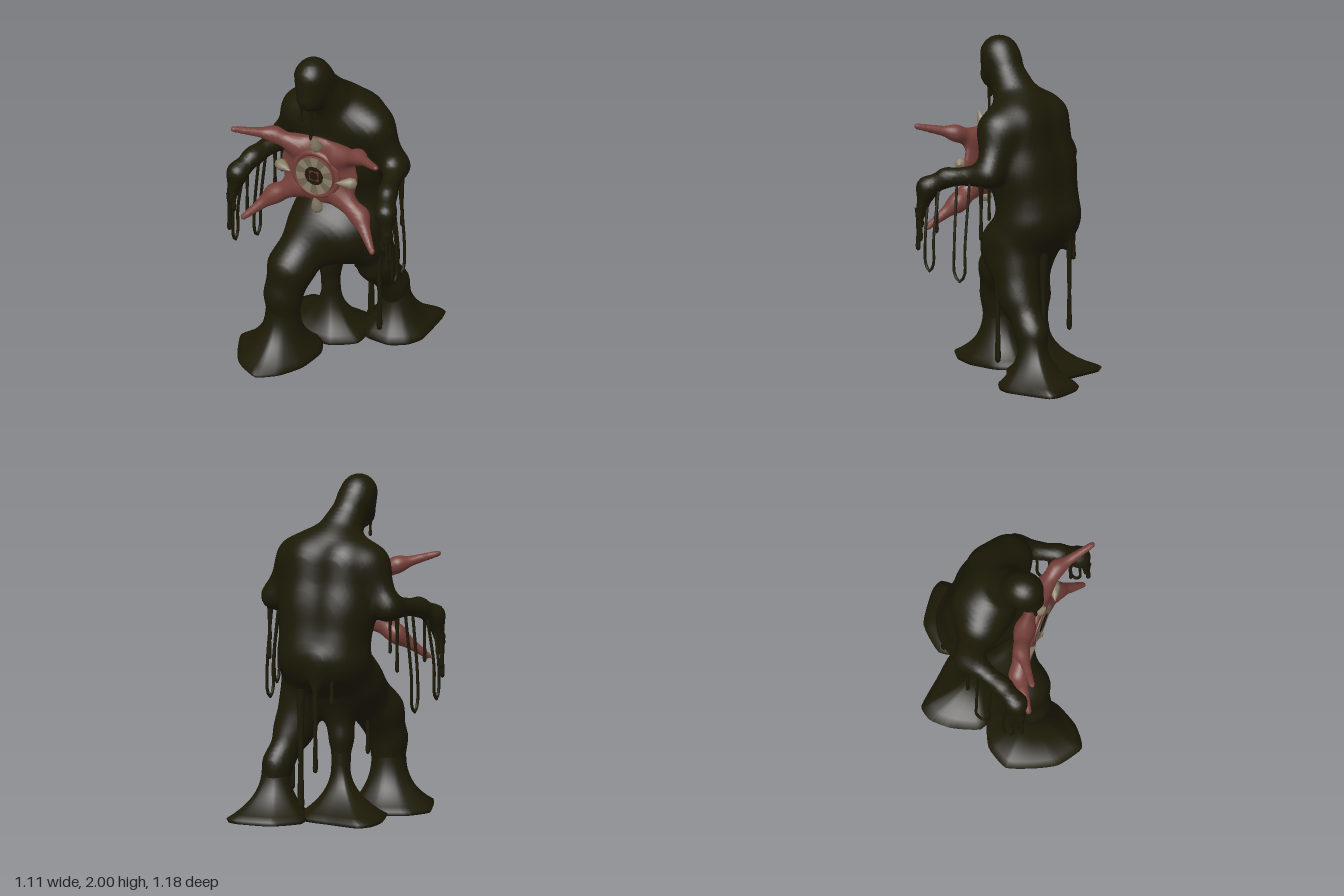
import * as THREE from 'three';

const mat = (name, color) => {
  const m = new THREE.MeshStandardMaterial({ color });
  m.name = name;
  return m;
};
const slime = mat('slime', 0x1c1906);
const flesh = mat('flesh', 0x753f39);
const gum = mat('gum', 0x64302b);
const bone = mat('bone', 0x897e68);
const dullBone = mat('dull bone', 0x716552);

const V = (x, y, z) => new THREE.Vector3(x, y, z);
function add(parent, name, geometry, material) {
  const mesh = new THREE.Mesh(geometry, material);
  mesh.name = name;
  parent.add(mesh);
  return mesh;
}

// Tapered limb between two points; sx widens its section along x
const limb = (a, b, ra, rb, sx = 1) => (x, y, z) => {
  const dx = b[0] - a[0], dy = b[1] - a[1], dz = b[2] - a[2];
  const px = (x - a[0]) / sx, py = y - a[1], pz = z - a[2];
  const t = Math.min(1, Math.max(0, (px * dx + py * dy + pz * dz) / (dx * dx + dy * dy + dz * dz)));
  return Math.hypot(px - dx * t, py - dy * t, pz - dz * t) - (ra + (rb - ra) * t);
};
const ellipsoid = (c, r) => (x, y, z) => {
  const p = [x - c[0], y - c[1], z - c[2]];
  const k0 = Math.hypot(p[0] / r[0], p[1] / r[1], p[2] / r[2]);
  const k1 = Math.hypot(p[0] / r[0] ** 2, p[1] / r[1] ** 2, p[2] / r[2] ** 2);
  return k1 < 1e-6 ? -Math.min(...r) : k0 * (k0 - 1) / k1;
};

// Melts the given shapes together and skins the result on a regular grid
function meltedSurface(shapes, blend, min, max, cell) {
  const n = min.map((m, a) => Math.ceil((max[a] - m) / cell) + 1);
  const step = [1, n[0], n[0] * n[1]];
  const val = new Float32Array(n[0] * n[1] * n[2]);
  const each = (from, trim, fn) => {
    for (let k = from; k < n[2] - trim; k++)
      for (let j = from; j < n[1] - trim; j++)
        for (let i = from; i < n[0] - trim; i++) fn(i, j, k, i + j * step[1] + k * step[2]);
  };
  each(0, 0, (i, j, k, id) => {
    let d = 1;
    for (const s of shapes) {
      const e = s(min[0] + i * cell, min[1] + j * cell, min[2] + k * cell);
      const h = Math.max(blend - Math.abs(d - e), 0) / blend;
      d = Math.min(d, e) - h * h * blend / 4;
    }
    val[id] = d;
  });
  const pos = [], index = [], vert = new Int32Array(val.length).fill(-1);
  each(0, 1, (i, j, k, id) => {
    const sum = [0, 0, 0];
    let hits = 0;
    for (let c = 0; c < 8; c++) for (let a = 0; a < 3; a++) {
      if (c >> a & 1) continue;
      const bits = [c & 1, c >> 1 & 1, c >> 2 & 1];
      const o = id + bits[0] * step[0] + bits[1] * step[1] + bits[2] * step[2];
      const v0 = val[o], v1 = val[o + step[a]];
      if ((v0 < 0) === (v1 < 0)) continue;
      bits[a] = v0 / (v0 - v1);
      bits.forEach((b, q) => { sum[q] += b; });
      hits++;
    }
    if (!hits) return;
    vert[id] = pos.length / 3;
    [i, j, k].forEach((g, a) => pos.push(min[a] + (g + sum[a] / hits) * cell));
  });
  each(1, 1, (i, j, k, id) => {
    for (let a = 0; a < 3; a++) {
      const inside = val[id] < 0;
      if (inside === (val[id + step[a]] < 0)) continue;
      const b = step[(a + 1) % 3], c = step[(a + 2) % 3];
      const q = [vert[id], vert[id - b], vert[id - b - c], vert[id - c]];
      if (!inside) q.reverse();
      index.push(q[0], q[1], q[2], q[0], q[2], q[3]);
    }
  });
  return indexed(pos, index);
}
function indexed(pos, index) {
  const g = new THREE.BufferGeometry();
  g.setAttribute('position', new THREE.Float32BufferAttribute(pos, 3));
  g.setIndex(index);
  g.computeVertexNormals();
  return g;
}

// Foot that flares from a leg column out to an uneven puddle outline
function puddle(outline, cx, cz, r) {
  const curve = new THREE.CatmullRomCurve3(outline.map(([x, z]) => V(x, 0, z)), true, 'catmullrom', 0.25);
  const N = 40, pts = curve.getPoints(N).slice(0, N), pos = [], index = [];
  const rows = [[0.06, 0], [0, 0.024]];
  for (let s = 0.1; s < 1.01; s += 0.1) rows.push([1 - (1 - Math.min(s, 1)) ** 2.2, 0.026 + 0.29 * s ** 1.1]);
  for (const [t, y] of rows) for (const p of pts) {
    const ang = Math.atan2(p.z - cz, p.x - cx);
    pos.push(p.x + (cx + r * Math.cos(ang) - p.x) * t, y, p.z + (cz + r * Math.sin(ang) - p.z) * t);
  }
  for (let j = 0; j < rows.length - 1; j++) for (let i = 0; i < N; i++) {
    const a = j * N + i, b = j * N + (i + 1) % N;
    index.push(a, b, a + N, b, b + N, a + N);
  }
  for (let i = 1; i < N - 1; i++) index.push(0, i + 1, i);
  return indexed(pos, index);
}

// Hanging drip: wide root, thin neck, swollen end
function drip(parent, x, z, top, bottom, r) {
  const L = top - bottom;
  const prof = [[0, 0], [r * 0.8, r * 0.6], [r, r * 2], [r * 0.7, L * 0.4], [r * 0.9, L * 0.75], [r * 1.4, L]];
  const g = new THREE.LatheGeometry(prof.map(p => new THREE.Vector2(...p)), 8);
  add(parent, 'drip', g, slime).position.set(x, bottom, z);
}
// Strand of slime sagging in a long U
function strand(parent, x, z1, z2, top, bottom) {
  const m = (z1 + z2) / 2, q = (z2 - z1) * 0.85 / 2;
  const path = new THREE.CatmullRomCurve3([V(x * 0.92, top, z1), V(x, bottom + 0.2, m - q),
    V(x, bottom + 0.04, m - q * 0.9), V(x, bottom, m), V(x, bottom + 0.04, m + q * 0.9),
    V(x, bottom + 0.2, m + q), V(x * 0.92, top, z2)]);
  add(parent, 'slimeStrand', new THREE.TubeGeometry(path, 36, 0.009, 6), slime);
}

export function createModel() {
  const model = new THREE.Group();
  model.name = 'slimeCreature';

  // Body: head, torso, skirt, webbing, legs and both arms melted together
  const shapes = [
    limb([-0.06, 1.875, 0.158], [-0.06, 1.76, 0.193], 0.122, 0.088, 0.9),
    limb([-0.04, 1.8, 0.1], [0, 1.6, -0.03], 0.1, 0.15),
    limb([0, 0.93, -0.15], [-0.01, 0.78, -0.01], 0.2, 0.2, 1.33),
    limb([-0.04, 0.97, -0.31], [-0.04, 0.8, -0.345], 0.07, 0.025),
    limb([-0.08, 0.82, 0], [-0.17, 0.58, 0.215], 0.17, 0.13),
    limb([-0.17, 0.58, 0.215], [-0.2, 0.42, 0.26], 0.13, 0.103),
    limb([-0.2, 0.42, 0.26], [-0.205, 0.2, 0.258], 0.101, 0.1),
    limb([0.13, 0.82, -0.1], [0.195, 0.52, -0.16], 0.16, 0.115),
    limb([0.195, 0.52, -0.16], [0.245, 0.32, -0.285], 0.112, 0.088, 0.9),
    limb([0.245, 0.32, -0.285], [0.25, 0.2, -0.305], 0.088, 0.085, 0.85),
    limb([-0.1, 0.68, 0.1], [0.17, 0.675, -0.06], 0.105, 0.1),
    limb([-0.05, 0.68, -0.08], [-0.08, 0.48, -0.1], 0.12, 0.062),
    limb([-0.08, 0.48, -0.1], [-0.08, 0.2, -0.11], 0.062, 0.055),
    ellipsoid([0, 1.26, 0.07], [0.17, 0.16, 0.1]),
  ];
  for (const s of [-1, 1]) shapes.push(
    limb([s * 0.1, 1.5, -0.08], [s * 0.09, 1.25, -0.115], 0.19, 0.195),
    limb([s * 0.09, 1.25, -0.115], [s * 0.07, 0.98, -0.17], 0.195, 0.2),
    limb([0, 1.59, -0.05], [s * 0.23, 1.5, -0.045], 0.12, 0.12),
    limb([s * 0.23, 1.5, -0.05], [s * 0.37, 1.27, -0.07], 0.115, 0.07),
    limb([s * 0.37, 1.27, -0.07], [s * 0.445, 1.235, 0.18], 0.07, 0.046),
    limb([s * 0.445, 1.235, 0.18], [s * 0.49, 1.17, 0.285], 0.046, 0.054),
    limb([s * 0.49, 1.17, 0.285], [s * 0.515, 1.0, 0.32], 0.05, 0.03));
  add(model, 'body', meltedSurface(shapes, 0.06, [-0.64, 0.06, -0.5], [0.64, 2.06, 0.46], 0.02), slime);

  // Feet
  add(model, 'frontFoot', puddle([[-0.02, 0.35], [0, 0.15], [-0.08, 0.02], [-0.25, 0], [-0.42, 0.08],
    [-0.5, 0.22], [-0.44, 0.38], [-0.37, 0.5], [-0.22, 0.59], [-0.1, 0.5]], -0.205, 0.259, 0.101), slime);
  add(model, 'backFoot', puddle([[0.45, -0.4], [0.44, -0.56], [0.36, -0.59], [0.15, -0.56], [0.02, -0.41],
    [0.06, -0.25], [0.14, -0.12], [0.3, -0.1], [0.4, -0.16], [0.45, -0.25]], 0.25, -0.3, 0.08), slime);
  add(model, 'middleFoot', puddle([[0.14, -0.04], [0.14, -0.22], [0.04, -0.34], [-0.13, -0.36], [-0.33, -0.38],
    [-0.39, -0.3], [-0.39, -0.17], [-0.33, 0], [-0.15, 0.05], [0, 0.06]], -0.08, -0.11, 0.055), slime);

  // Drips under the chin, the skirt and the back: x, z, top, bottom, radius
  [[-0.09, 0.245, 1.72, 1.61, 0.011], [-0.04, 0.22, 1.72, 1.48, 0.011], [0.1, -0.27, 0.78, 0.04, 0.022],
    [0.265, -0.06, 0.68, 0.12, 0.018], [-0.17, 0.06, 0.66, 0.35, 0.014], [-0.04, -0.355, 0.86, 0.3, 0.016],
    [-0.13, -0.32, 0.95, 0.7, 0.015]].forEach(d => drip(model, ...d));

  // Fingers, drips and strands of each arm
  for (const s of [-1, 1]) {
    [[0.52, 0.33, 1.05, 0.79, 0.015], [0.53, 0.305, 1.06, 0.85, 0.014], [0.495, 0.325, 1.08, 0.92, 0.016],
      [0.445, 0.25, 1.22, 0.89, 0.012], [0.42, -0.05, 1.24, 0.88, 0.013], [0.395, -0.09, 1.24, 1.0, 0.011],
      [0.31, -0.04, 1.36, 1.2, 0.011]].forEach(([x, ...d]) => drip(model, s * x, ...d));
    strand(model, s * 0.525, 0.21, 0.28, 1.17, 0.68);
    strand(model, s * 0.475, 0.02, 0.11, 1.23, 0.63);
  }

  // Four-armed fleshy star on the chest
  const star = [ellipsoid([0, 1.275, 0.185], [0.25, 0.22, 0.05])];
  for (const s of [-1, 1]) star.push(
    limb([s * 0.13, 1.405, 0.193], [s * 0.28, 1.463, 0.23], 0.058, 0.036),
    limb([s * 0.28, 1.463, 0.23], [s * 0.47, 1.52, 0.375], 0.036, 0.018),
    limb([s * 0.13, 1.14, 0.19], [s * 0.28, 1.05, 0.215], 0.06, 0.046),
    limb([s * 0.28, 1.05, 0.215], [s * 0.425, 0.91, 0.335], 0.046, 0.018));
  add(model, 'fleshStar', meltedSurface(star, 0.06, [-0.54, 0.84, 0.06], [0.54, 1.6, 0.44], 0.0125), flesh);

  // Mouth: lip, collar, ring of tooth plates and throat
  const mouth = new THREE.Group();
  mouth.name = 'mouth';
  mouth.position.set(0, 1.27, 0);
  model.add(mouth);
  add(mouth, 'lip', new THREE.TorusGeometry(0.14, 0.02, 8, 36), flesh).position.z = 0.23;
  const collar = add(mouth, 'collar', new THREE.CylinderGeometry(0.122, 0.13, 0.05, 32), flesh);
  collar.rotation.x = Math.PI / 2;
  collar.position.z = 0.229;
  const plates = 14, arc = Math.PI * 2 / plates;
  for (let i = 0; i < plates; i++)
    add(mouth, 'toothPlate', new THREE.RingGeometry(0.058, 0.12, 2, 1, i * arc, arc), i % 2 ? bone : dullBone).position.z = 0.257;
  [[0.062, slime, 10], [0.046, gum, 4], [0.03, slime, 6]].forEach(([r, m, sides], i) =>
    add(mouth, 'throat', new THREE.CircleGeometry(r, sides, Math.PI / 4), m).position.z = 0.259 + i * 0.002);

  // Claws around the mouth: x, y, z and roll of the tip
  const clawShape = [[0, -0.055], [0.03, -0.042], [0.036, -0.01], [0.02, 0.035], [0, 0.075]].map(p => new THREE.Vector2(...p));
  [[0, 1.475, 0.24, 0], [0, 1.055, 0.225, 0], [-0.215, 1.27, 0.24, -Math.PI / 2], [0.215, 1.27, 0.24, Math.PI / 2]]
    .forEach(([x, y, z, roll]) => {
      const claw = add(model, 'claw', new THREE.LatheGeometry(clawShape, 8), bone);
      claw.position.set(x, y, z);
      claw.rotation.set(0.45, 0, roll, 'ZXY');
    });
  return model;
}
